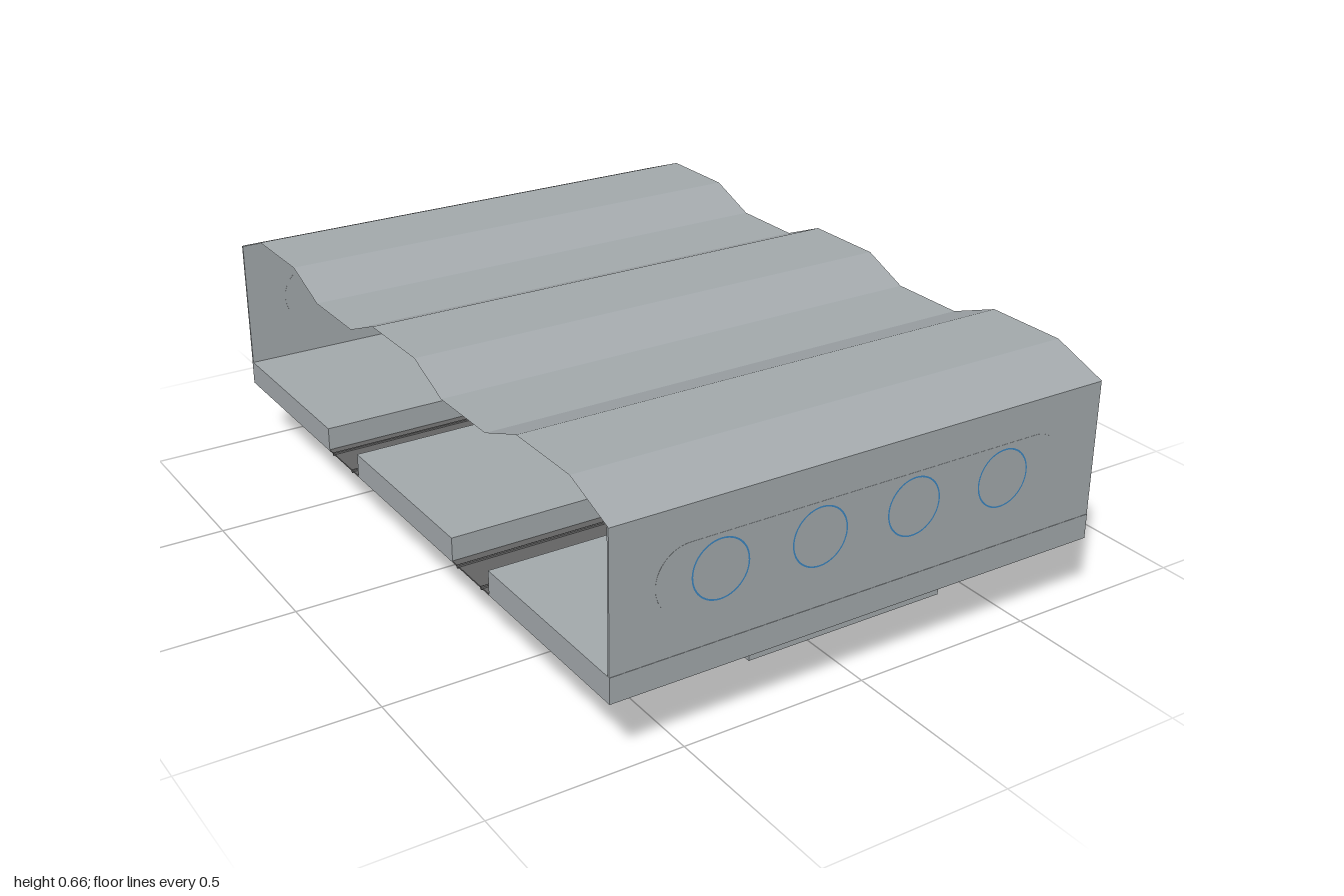
import * as THREE from 'three';

const material = (name, color, side = THREE.FrontSide) => {
  const m = new THREE.MeshStandardMaterial({ color, side, flatShading: true });
  m.name = name;
  return m;
};

export function createModel() {
  const group = new THREE.Group();
  const grey = material('panelGrey', 0xa3a9ac);
  const greySheet = material('sheetGrey', 0xa3a9ac, THREE.DoubleSide);
  const dark = material('channelDark', 0x646464);
  const blue = material('ringBlue', 0x3c86c0, THREE.DoubleSide);

  const W = 1.386, FLOOR = 0.178, EAVE = 0.605, RIDGE = 0.66;

  const add = (name, geometry, mat, parent = group) => {
    const mesh = new THREE.Mesh(geometry, mat);
    mesh.name = name;
    parent.add(mesh);
    return mesh;
  };
  // Box given by its limits on each axis
  const box = (name, x0, x1, y0, y1, z0, z1, mat = grey) => {
    const g = new THREE.BoxGeometry(x1 - x0, y1 - y0, z1 - z0);
    g.translate((x0 + x1) / 2, (y0 + y1) / 2, (z0 + z1) / 2);
    return add(name, g, mat);
  };

  // Corrugated roof: a plane bent along z
  const profile = [
    [-1, EAVE], [-0.85, RIDGE], [-0.615, RIDGE], [-0.47, EAVE], [-0.255, EAVE], [-0.12, RIDGE],
    [0.115, RIDGE], [0.25, EAVE], [0.468, EAVE], [0.615, RIDGE], [0.845, RIDGE], [1, EAVE],
  ];
  const roof = new THREE.PlaneGeometry(W, 2, 1, profile.length - 1);
  const pos = roof.attributes.position;
  for (let i = 0; i < pos.count; i++) {
    const [z, y] = profile[Math.floor(i / 2)];
    pos.setXYZ(i, pos.getX(i), y, z);
  }
  roof.computeVertexNormals();
  add('corrugatedRoof', roof, greySheet);

  // Floor slabs with two channels between them
  for (const [z0, z1] of [[0.458, 1], [-0.27, 0.272], [-1, -0.456]]) {
    box('floorSlab', -W / 2, W / 2, FLOOR, 0.245, z0, z1);
  }
  for (const [z0, z1] of [[0.272, 0.458], [-0.456, -0.27]]) {
    box('channelFloor', -W / 2, W / 2, FLOOR, 0.182, z0, z1, dark);
    for (const z of [z0 + 0.031, z1 - 0.034]) {
      const rail = new THREE.CylinderGeometry(0.005, 0.005, W + 0.006, 8);
      rail.rotateZ(Math.PI / 2);
      add('channelRail', rail, dark).position.set(0, 0.182, z);
    }
  }

  // End walls, each with a rounded panel and four blue rings on both faces
  const capsule = new THREE.Shape();
  capsule.absarc(0.49, 0, 0.088, -Math.PI / 2, Math.PI / 2);
  capsule.absarc(-0.49, 0, 0.088, Math.PI / 2, Math.PI * 1.5);
  const panel = new THREE.ExtrudeGeometry(capsule, { depth: 0.007, bevelEnabled: false, curveSegments: 16 });
  panel.translate(0, 0, -0.0035);
  const ring = new THREE.RingGeometry(0.0725, 0.0765, 48);
  for (const side of [1, -1]) {
    const wall = new THREE.Group();
    wall.name = side > 0 ? 'frontWall' : 'backWall';
    wall.position.z = side * 0.996;
    group.add(wall);
    add('wallSheet', new THREE.BoxGeometry(W, EAVE - FLOOR, 0.006), grey, wall).position.y = (EAVE + FLOOR) / 2;
    add('wallPanel', panel, grey, wall).position.y = 0.425;
    for (const x of [-0.41, -0.142, 0.126, 0.395]) {
      for (const z of [-0.004, 0.004]) {
        add('wallRing', ring, blue, wall).position.set(x, 0.425, z);
      }
    }
  }

  // Comb-shaped base: a spine with three arms
  const base = new THREE.Shape([
    [0.413, -0.79], [0.413, 0.8], [-0.175, 0.8], [-0.175, 0.695], [0.08, 0.695], [0.08, 0.055],
    [-0.175, 0.055], [-0.175, -0.055], [0.08, -0.055], [0.08, -0.685], [-0.175, -0.685], [-0.175, -0.79],
  ].map(([x, y]) => new THREE.Vector2(x, y)));
  const baseGeometry = new THREE.ExtrudeGeometry(base, { depth: FLOOR, bevelEnabled: false });
  baseGeometry.rotateX(-Math.PI / 2);
  add('combBase', baseGeometry, grey);

  return group;
}
